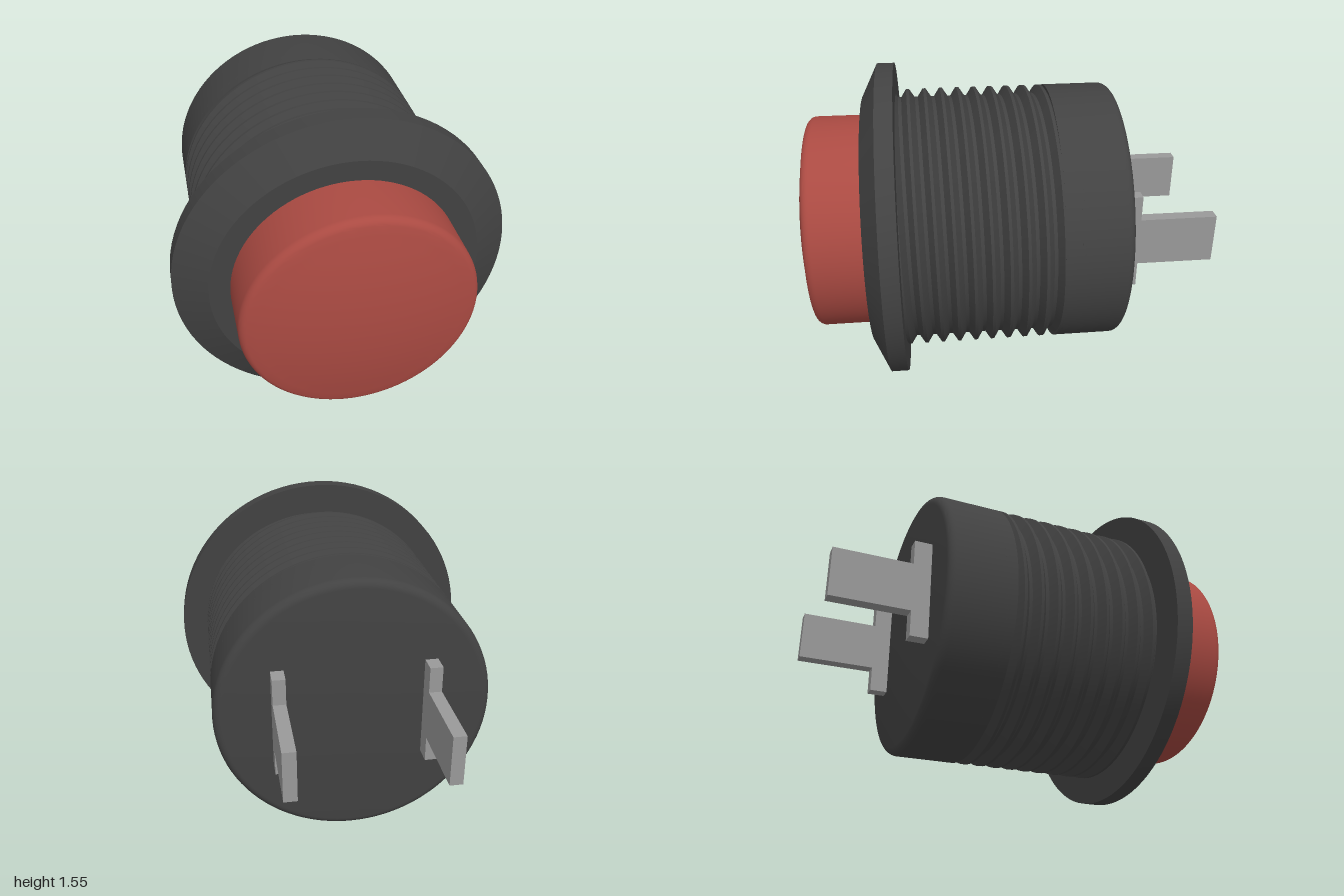
import * as THREE from 'three';
import { toCreasedNormals } from 'three/addons/utils/BufferGeometryUtils.js';

const AXIS_Y = 0.775;
const black = new THREE.MeshStandardMaterial({ color: 0x424242 });
const red = new THREE.MeshStandardMaterial({ color: 0xaa4a42 });
const metal = new THREE.MeshStandardMaterial({ color: 0x999999 });

// Quarter-round profile points [radius, z] about a centre
function fillet(cr, cz, size, from, to, steps = 6) {
  return Array.from({ length: steps + 1 }, (_, i) => {
    const a = from + (to - from) * i / steps;
    return [cr + size * Math.cos(a), cz + size * Math.sin(a)];
  });
}

// Solid of revolution about z; profile runs from back to front
function turned(name, profile, material) {
  const points = profile.map(([r, z]) => new THREE.Vector2(Math.max(r, 0), z));
  const geometry = toCreasedNormals(new THREE.LatheGeometry(points, 96), 0.4);
  geometry.rotateX(Math.PI / 2);
  const mesh = new THREE.Mesh(geometry, material);
  mesh.name = name;
  return mesh;
}

// Right-handed helical thread: one ribbon per profile segment keeps its edges sharp
function thread() {
  const pitch = 0.082, turns = 11, perTurn = 80, start = -0.352;
  const root = 0.605, crest = 0.645;
  const section = [[root, 0.008], [crest, 0.034], [crest, 0.048], [root, 0.074], [root, 0.09]];
  const positions = [], index = [];
  for (let s = 0; s < section.length - 1; s++) {
    const base = positions.length / 3;
    for (let i = 0; i <= turns * perTurn; i++) {
      const a = i / perTurn * Math.PI * 2;
      for (const [r, z] of [section[s], section[s + 1]]) {
        positions.push(r * Math.cos(a), r * Math.sin(a), start + z + pitch * i / perTurn);
      }
      if (i > 0) {
        const p = base + (i - 1) * 2;
        index.push(p, p + 2, p + 1, p + 2, p + 3, p + 1);
      }
    }
  }
  const geometry = new THREE.BufferGeometry();
  geometry.setAttribute('position', new THREE.Float32BufferAttribute(positions, 3));
  geometry.setIndex(index);
  geometry.computeVertexNormals();
  const mesh = new THREE.Mesh(geometry, black);
  mesh.name = 'thread';
  return mesh;
}

// T-shaped tab, drawn as (-z, y) and extruded across x
function terminal(name, x) {
  const width = 0.06;
  const outline = [[0.5, -0.243], [0.63, -0.243], [0.63, -0.12], [1, -0.12],
    [1, 0.12], [0.63, 0.12], [0.63, 0.243], [0.5, 0.243]];
  const shape = new THREE.Shape(outline.map(([u, v]) => new THREE.Vector2(u, v)));
  const geometry = new THREE.ExtrudeGeometry(shape, { depth: width, bevelEnabled: false });
  geometry.translate(0, 0, -width / 2).rotateY(Math.PI / 2);
  const mesh = new THREE.Mesh(geometry, metal);
  mesh.name = name;
  mesh.position.x = x;
  return mesh;
}

export function createModel() {
  const model = new THREE.Group();
  model.name = 'pushButtonSwitch';
  const parts = new THREE.Group();
  parts.name = 'switchParts';
  parts.position.y = AXIS_Y;
  model.add(parts);

  // Rear housing with rounded back edge
  parts.add(turned('rearHousing', [
    [0, -0.545], ...fillet(0.605, -0.505, 0.04, -Math.PI / 2, 0), [0.645, -0.225], [0.5, -0.225],
  ], black));

  parts.add(thread());

  // Bezel with chamfered front
  parts.add(turned('bezel', [
    [0.5, 0.51], [0.775, 0.51], [0.775, 0.592], [0.62, 0.67], [0.5, 0.67],
  ], black));

  // Button cap: straight wall, rounded rim, shallow dome
  const dome = Array.from({ length: 12 }, (_, i) => {
    const r = 0.495 * (1 - (i + 1) / 12);
    return [r, 1 - 0.058 * (r / 0.495) ** 2];
  });
  parts.add(turned('buttonCap', [
    [0.525, 0.65], ...fillet(0.485, 0.905, 0.04, 0, Math.PI * 0.42), ...dome,
  ], red));

  parts.add(terminal('leftTerminal', 0.35), terminal('rightTerminal', -0.35));
  return model;
}
